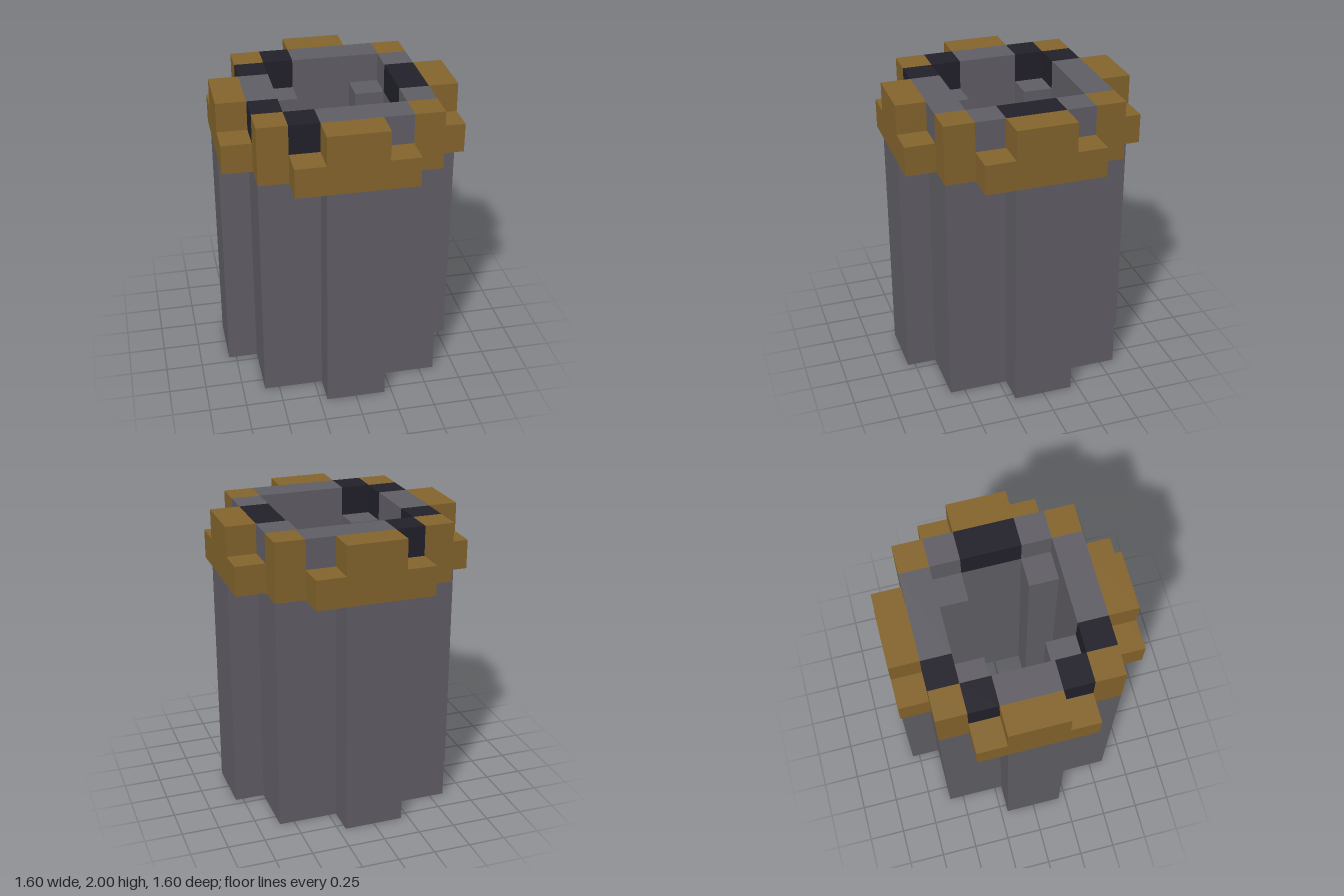
import * as THREE from 'three';

const stone = new THREE.MeshStandardMaterial({ color: 0x615f66 });
stone.name = 'grey stone';
const gold = new THREE.MeshStandardMaterial({ color: 0x85652d });
gold.name = 'dull gold';
const dark = new THREE.MeshStandardMaterial({ color: 0x22212b });
dark.name = 'dark stone';

// Closed outline mirrored into all four quadrants from points in the first one
function outline(Type, quarter) {
  const back = [...quarter].reverse();
  const pts = [
    ...quarter,
    ...back.map(([x, z]) => [-x, z]),
    ...quarter.map(([x, z]) => [-x, -z]),
    ...back.map(([x, z]) => [x, -z]),
  ];
  return new Type(pts.map(([x, z]) => new THREE.Vector2(x, z)));
}

export function createModel() {
  const model = new THREE.Group();
  model.name = 'tower';

  // Upright prism with the cross-shaped shaft cut through it
  function prism(name, quarter, y0, y1) {
    const shape = outline(THREE.Shape, quarter);
    shape.holes.push(outline(THREE.Path, [[0.4, 0.2], [0.2, 0.2], [0.2, 0.4]]));
    const geo = new THREE.ExtrudeGeometry(shape, { depth: y1 - y0, bevelEnabled: false });
    geo.rotateX(-Math.PI / 2).translate(0, y0, 0);
    const mesh = new THREE.Mesh(geo, stone);
    mesh.name = name;
    model.add(mesh);
  }

  // Block given by its extents
  function block(name, material, [x0, x1], [y0, y1], [z0, z1], parent = model) {
    const mesh = new THREE.Mesh(new THREE.BoxGeometry(x1 - x0, y1 - y0, z1 - z0), material);
    mesh.position.set((x0 + x1) / 2, (y0 + y1) / 2, (z0 + z1) / 2);
    mesh.name = name;
    parent.add(mesh);
  }

  // Main shaft, with a buttress on each side
  prism('towerBody', [[0.8, 0.2], [0.6, 0.2], [0.6, 0.6], [0.2, 0.6], [0.2, 0.8]], 0, 1.6);
  // Wall behind the gold band
  prism('upperWall', [[0.6, 0.4], [0.4, 0.4], [0.4, 0.6]], 1.6, 1.8);

  // Gold trim: a stepped crest per side and a post per corner
  for (let i = 0; i < 4; i++) {
    const side = new THREE.Group();
    side.name = 'goldTrim';
    side.rotation.y = i * Math.PI / 2;
    block('bandBlock', gold, [-0.4, 0.4], [1.6, 1.8], [0.6, 0.8], side);
    block('crestBlock', gold, [-0.2, 0.2], [1.8, 2], [0.6, 0.8], side);
    block('cornerPost', gold, [0.4, 0.6], [1.6, 2], [0.4, 0.6], side);
    model.add(side);
  }

  // Rim between the posts, mirrored front to back
  const top = [1.8, 2];
  for (const s of [-1, 1]) {
    const across = s < 0 ? [-0.6, -0.4] : [0.4, 0.6];
    const corner = s < 0 ? [-0.4, -0.2] : [0.2, 0.4];
    block('longRim', stone, [-0.2, 0.4], top, across);
    block('darkRim', dark, [-0.4, -0.2], top, across);
    block('shortRim', stone, [0.4, 0.6], top, corner);
    block('darkRim', dark, [-0.6, -0.4], top, corner);
  }
  block('sideRim', stone, [-0.6, -0.4], top, [-0.2, 0.2]);
  block('darkSideRim', dark, [0.4, 0.6], top, [-0.2, 0.2]);

  return model;
}
